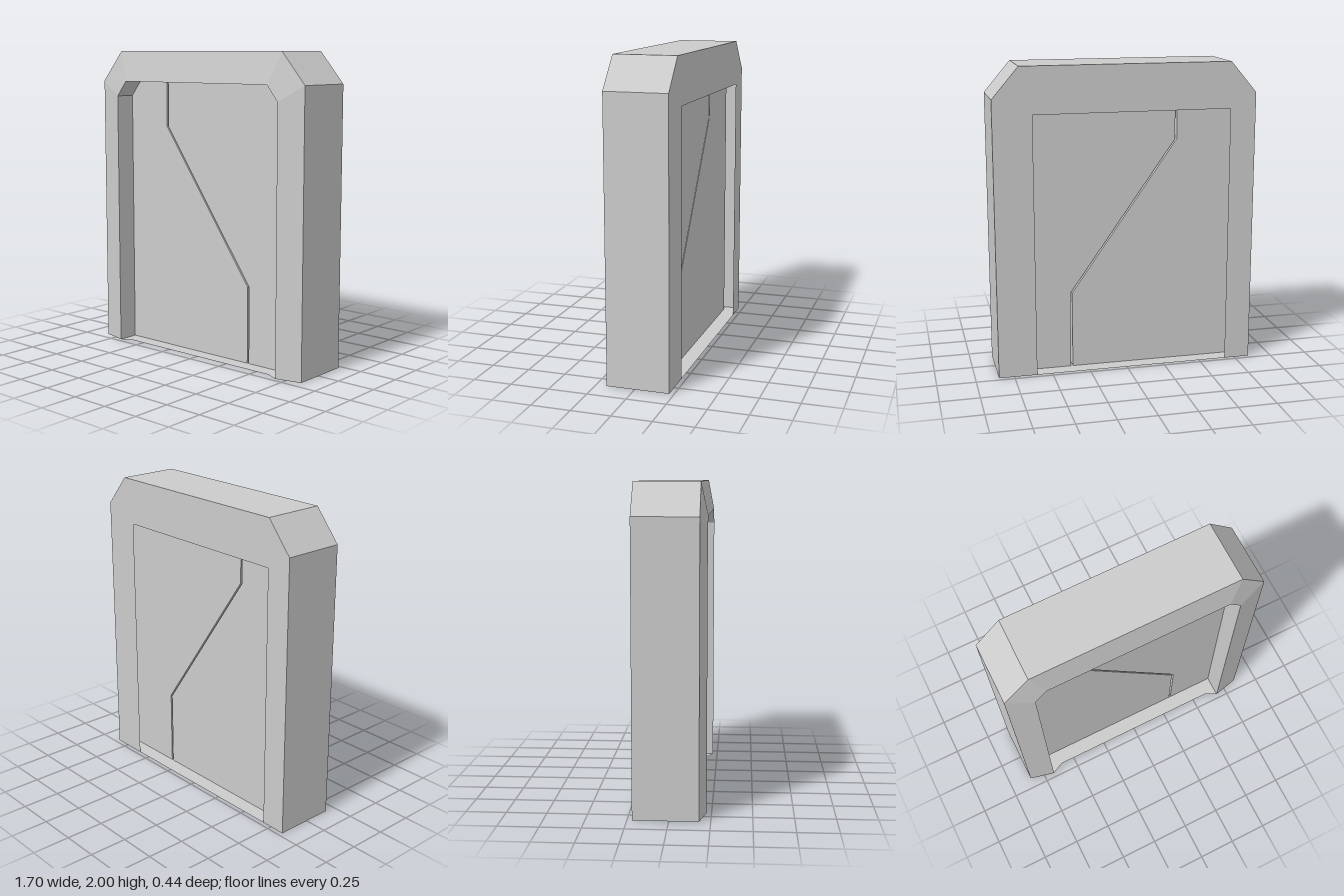
import * as THREE from 'three';

const BACK = -0.22, SHOULDER = 0.18, FRONT = 0.22;
const DOOR_BACK = -0.12, DOOR_FRONT = 0.08;

const material = new THREE.MeshStandardMaterial({
  color: 0xcccccc, flatShading: true, side: THREE.DoubleSide,
});

const shapeOf = (points) => new THREE.Shape(points.map(([x, y]) => new THREE.Vector2(x, y)));

// Mirrors half an arch (listed bottom to top on the right side) into a full path.
const arch = (half) => [...half, ...half.slice().reverse().map(([x, y]) => [-x, y])];

// Flat-shaded skin between successive open rings of equal length.
function loft(rings) {
  const positions = [];
  for (let j = 0; j < rings.length - 1; j++) {
    for (let i = 0; i < rings[j].length - 1; i++) {
      const a = rings[j][i], b = rings[j + 1][i];
      const c = rings[j + 1][i + 1], d = rings[j][i + 1];
      positions.push(...a, ...b, ...c, ...a, ...c, ...d);
    }
  }
  const geometry = new THREE.BufferGeometry();
  geometry.setAttribute('position', new THREE.Float32BufferAttribute(positions, 3));
  geometry.computeVertexNormals();
  return geometry;
}

export function createModel() {
  const group = new THREE.Group();
  const add = (name, geometry, parent = group) => {
    const mesh = new THREE.Mesh(geometry, material);
    mesh.name = name;
    parent.add(mesh);
  };

  // Frame: outer walls, sloping front face and inner reveal
  const frame = new THREE.Group();
  frame.name = 'frame';
  group.add(frame);
  const outer = arch([[-0.85, 0], [-0.85, 1.8], [-0.68, 2]]);
  const inner = arch([[-0.68, 0], [-0.68, 1.7], [-0.6, 1.8]]);
  const ring = (path, z) => path.map(([x, y]) => [x, y, z]);
  add('frameSurround', loft([
    ring(outer, BACK), ring(outer, SHOULDER), ring(inner, FRONT), ring(inner, DOOR_FRONT),
  ]), frame);

  // Back face with its rectangular opening, drawn mirrored and then turned to face -z
  const backShape = shapeOf([
    ...outer.slice().reverse(),
    [-0.6, 0], [-0.6, 1.7], [0.68, 1.7], [0.68, 0],
  ]);
  add('frameBack', new THREE.ShapeGeometry(backShape).rotateY(Math.PI).translate(0, 0, BACK), frame);

  // Sill: thin floor following the plan of the frame
  const sillShape = shapeOf([
    [-0.85, BACK], [0.85, BACK], [0.85, SHOULDER], [0.68, FRONT], [0.6, SHOULDER],
    [-0.6, SHOULDER], [-0.68, FRONT], [-0.85, SHOULDER],
  ]);
  add('sill', new THREE.ShapeGeometry(sillShape).rotateX(Math.PI / 2), frame);

  // Two door leaves separated by a narrow stepped diagonal gap
  const top = 1.85, side = 0.8, halfGap = 0.006;
  const seam = [[-0.347, top], [-0.347, 1.5], [0.352, 0.505], [0.352, 0]];
  for (const [name, s] of [['rightDoor', -1], ['leftDoor', 1]]) {
    const leaf = shapeOf([
      [s * side, 0], [s * side, top],
      ...seam.map(([x, y]) => [x + s * halfGap, y]),
    ]);
    const geometry = new THREE.ExtrudeGeometry(leaf, {
      depth: DOOR_FRONT - DOOR_BACK, bevelEnabled: false,
    });
    add(name, geometry.translate(0, 0, DOOR_BACK));
  }

  return group;
}
